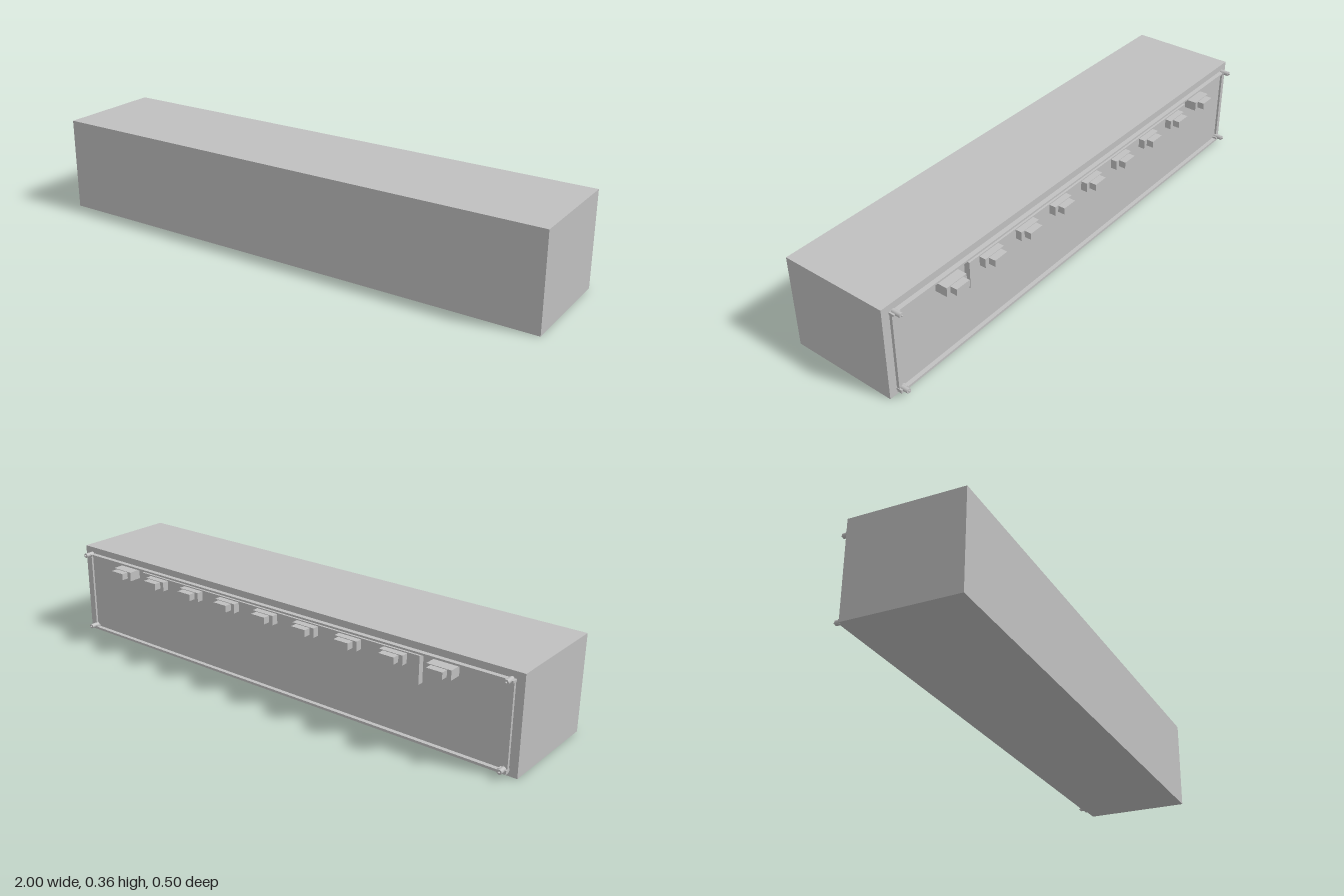
import * as THREE from 'three';

export function createModel() {
  const model = new THREE.Group();
  const grey = new THREE.MeshStandardMaterial({ color: 0xc0c0c0 });
  grey.name = 'light grey';

  // Box given by its limits on each axis
  function box(name, x0, x1, y0, y1, z0, z1, parent = model) {
    const mesh = new THREE.Mesh(new THREE.BoxGeometry(x1 - x0, y1 - y0, z1 - z0), grey);
    mesh.position.set((x0 + x1) / 2, (y0 + y1) / 2, (z0 + z1) / 2);
    mesh.name = name;
    parent.add(mesh);
    return mesh;
  }

  // Cylinder lying along z
  function pin(name, radius, y, z0, z1, parent) {
    const geometry = new THREE.CylinderGeometry(radius, radius, z1 - z0, 12).rotateX(Math.PI / 2);
    const mesh = new THREE.Mesh(geometry, grey);
    mesh.position.set(0, y, (z0 + z1) / 2);
    mesh.name = name;
    parent.add(mesh);
  }

  // Main body and rear panel
  box('body', -1, 1, 0, 0.36, -0.167, 0.248);
  box('rearPanel', -0.968, 0.968, 0.015, 0.334, -0.172, -0.169);

  // Frame around the rear panel
  box('topRail', -0.97, 0.97, 0.329, 0.336, -0.187, -0.169);
  box('bottomRail', -0.97, 0.97, 0.013, 0.022, -0.188, -0.169);
  for (const side of [-1, 1]) {
    const x = side * 0.963;
    box('sideRail', x - 0.007, x + 0.007, 0.013, 0.336, -0.18, -0.169);
  }

  // Plate behind the connectors
  box('connectorPlate', -0.64, 0.64, 0.227, 0.329, -0.195, -0.169);

  // Row of nine stepped connectors
  for (let i = -4; i <= 4; i++) {
    const connector = new THREE.Group();
    connector.name = 'connector';
    connector.position.x = i * 0.182;
    box('connectorBase', -0.046, 0.046, 0.29, 0.325, -0.22, -0.169, connector);
    box('connectorPlug', -0.03, 0.03, 0.298, 0.323, -0.247, -0.22, connector);
    model.add(connector);
  }

  // Corner fasteners
  for (const x of [-0.957, 0.957]) {
    for (const y of [0.027, 0.334]) {
      const fastener = new THREE.Group();
      fastener.name = 'cornerFastener';
      fastener.position.x = x;
      box('fastenerFoot', -0.015, 0.015, y - 0.006, y + 0.002, -0.19, -0.169, fastener);
      pin('fastenerBarrel', 0.009, y, -0.208, -0.172, fastener);
      pin('fastenerTip', 0.003, y, -0.214, -0.208, fastener);
      model.add(fastener);
    }
  }

  return model;
}
